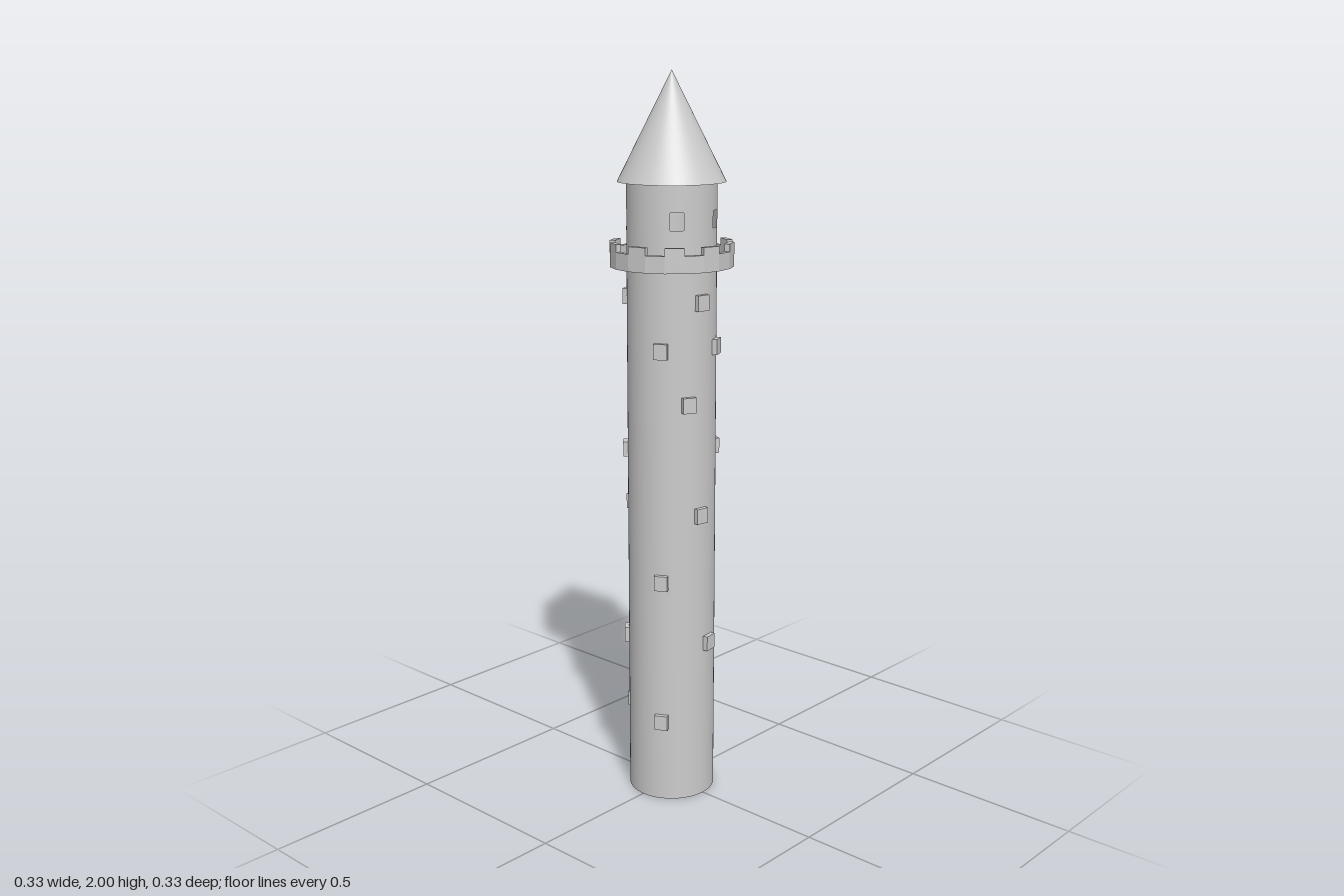
import * as THREE from 'three';

const DEG = Math.PI / 180;
const R = 0.12; // tower radius

export function createModel() {
  const model = new THREE.Group();
  const mat = new THREE.MeshStandardMaterial({ color: 0xcccccc });
  const thin = new THREE.MeshStandardMaterial({ color: 0xcccccc, side: THREE.DoubleSide });
  const flat = new THREE.MeshStandardMaterial({ color: 0xcccccc, flatShading: true });

  const add = (name, geometry, material = mat, parent = model) => {
    const mesh = new THREE.Mesh(geometry, material);
    mesh.name = name;
    parent.add(mesh);
    return mesh;
  };
  const group = (name) => {
    const g = new THREE.Group();
    g.name = name;
    model.add(g);
    return g;
  };

  // Main shaft
  add('shaft', new THREE.CylinderGeometry(R, R, 1.51, 64)).position.y = 0.755;

  // Balcony: 20-sided ring with a low parapet around a floor
  const balcony = group('balcony');
  const outer = 0.166, inner = 0.151, wallTop = 1.54, merlonTop = 1.56;
  const profile = [[0.11, 1.495], [outer, 1.495], [outer, wallTop], [inner, wallTop], [inner, 1.512], [0.11, 1.512]];
  add('parapet', new THREE.LatheGeometry(profile.map(p => new THREE.Vector2(...p)), 20), flat, balcony);

  // Merlons on every other side of the ring
  const a = 18 * DEG;
  const block = new THREE.Shape([
    new THREE.Vector2(outer, 0),
    new THREE.Vector2(outer * Math.cos(a), outer * Math.sin(a)),
    new THREE.Vector2(inner * Math.cos(a), inner * Math.sin(a)),
    new THREE.Vector2(inner, 0),
  ]);
  const merlonGeo = new THREE.ExtrudeGeometry(block, { depth: merlonTop - wallTop, bevelEnabled: false });
  merlonGeo.rotateX(-Math.PI / 2);
  for (let i = 0; i < 10; i++) {
    const merlon = add('merlon', merlonGeo, mat, balcony);
    merlon.position.y = wallTop;
    merlon.rotation.y = (2 * i + 1) * a;
  }

  // Hollow lookout room, its wall left open at four windows
  const room = group('lookoutRoom');
  const wall = (y0, y1, from, to) => {
    const segments = Math.max(2, Math.round((to - from) / 5));
    const geo = new THREE.CylinderGeometry(R, R, y1 - y0, segments, 1, true, from * DEG, (to - from) * DEG);
    add('roomWall', geo, thin, room).position.y = (y0 + y1) / 2;
  };
  const sill = 1.6, lintel = 1.645, half = 8.5;
  wall(1.5, sill, 0, 360);
  wall(lintel, 1.72, 0, 360);
  const windows = [49, 115, 233, 312];
  windows.forEach((w, i) => {
    const next = i < 3 ? windows[i + 1] : windows[0] + 360;
    wall(sill, lintel, w + half, next - half);
  });

  // Pointed roof
  add('roof', new THREE.ConeGeometry(0.144, 0.284, 64)).position.y = 1.858;

  // Protruding stones: height, then angles around the shaft
  const stones = group('stones');
  const rows = [
    [1.41, 82, 296],
    [1.285, 29, 115, 197],
    [1.14, 64, 254],
    [0.995, 151, 312],
    [0.83, 82, 285],
    [0.645, 29, 175],
    [0.455, 98, 253, 312],
    [0.235, 29, 205, 285],
  ];
  const stoneGeo = new THREE.BoxGeometry(0.037, 0.042, 0.03);
  for (const [y, ...angles] of rows) {
    for (const angle of angles) {
      const t = angle * DEG;
      const stone = add('stone', stoneGeo, mat, stones);
      stone.position.set(0.117 * Math.sin(t), y, 0.117 * Math.cos(t));
      stone.rotation.y = t;
    }
  }
  return model;
}
